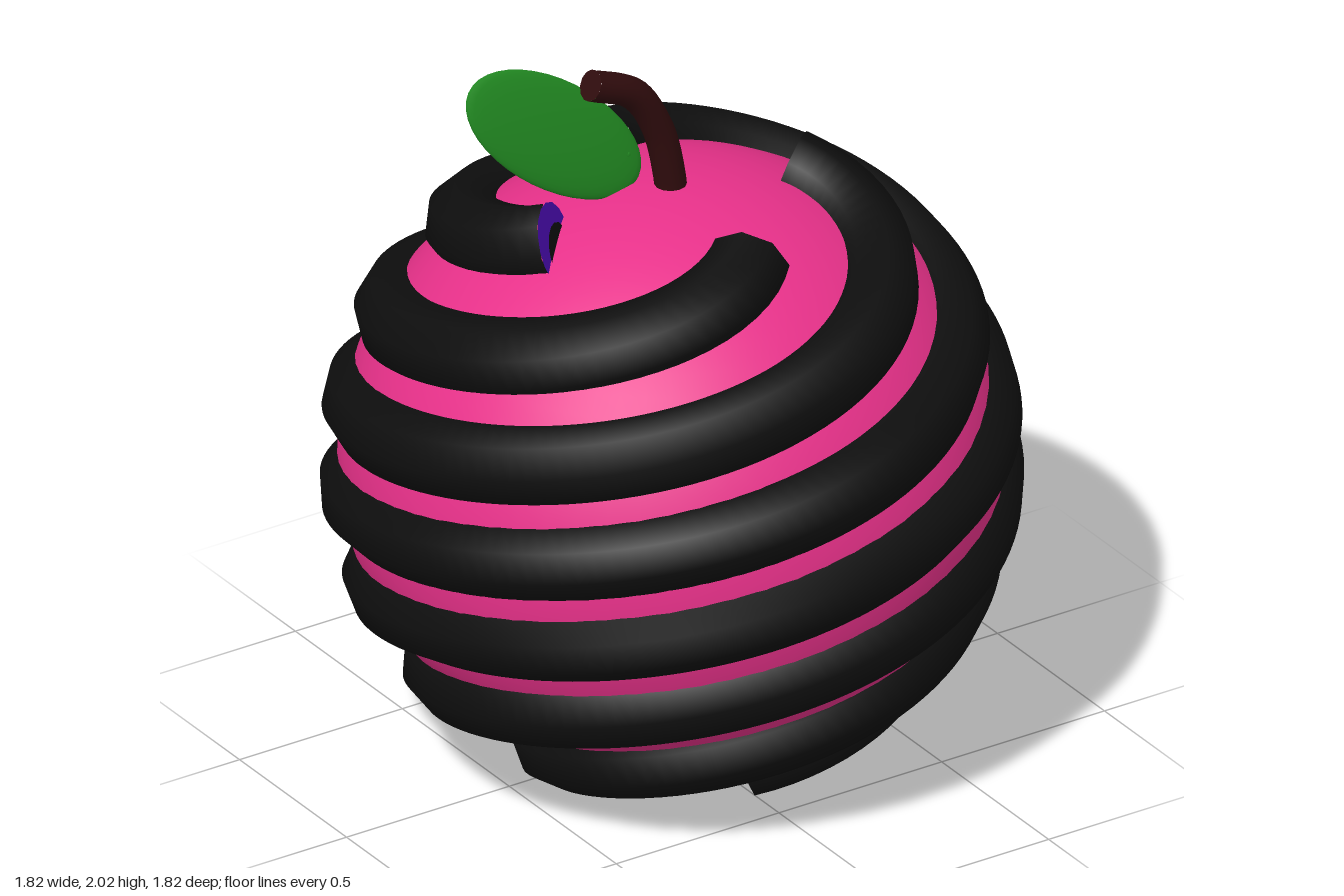
import * as THREE from 'three';

const CENTER_Y = 0.815;
const PATH_R = 0.805;
const END_Y = 0.72;

const material = (name, color) => {
  const m = new THREE.MeshStandardMaterial({ color });
  m.name = name;
  return m;
};

// Spiral over a sphere: height grows evenly over one and a half turns
class SphereSpiral extends THREE.Curve {
  getPoint(t, target = new THREE.Vector3()) {
    const y = (2 * t - 1) * END_Y;
    const r = Math.sqrt(PATH_R * PATH_R - y * y);
    const a = t * Math.PI * 3;
    return target.set(r * Math.sin(a), y, r * Math.cos(a));
  }
}

export function createModel() {
  const pink = material('pink', 0xe8318a);
  const black = material('black', 0x0e0e0e);
  const purple = material('purple', 0x4a0cb0);
  const brown = material('darkBrown', 0x300c0d);
  const green = material('green', 0x228b22);

  const model = new THREE.Group();
  model.name = 'fruit';
  const add = (name, geometry, mat, parent = model) => {
    const mesh = new THREE.Mesh(geometry, mat);
    mesh.name = name;
    parent.add(mesh);
    return mesh;
  };

  // Slightly squashed round body
  const body = add('body', new THREE.SphereGeometry(1, 64, 40), pink);
  body.scale.set(0.86, 0.79, 0.86);
  body.position.y = CENTER_Y;

  // Four coils wrapped around the body, with flat two-tone ends
  const spiral = new SphereSpiral();
  const coilGeometry = new THREE.TubeGeometry(spiral, 160, 0.11, 8);
  const endGeometry = new THREE.CircleGeometry(0.108, 16);
  const coreGeometry = new THREE.CircleGeometry(0.075, 16);
  for (let i = 0; i < 4; i++) {
    const coil = new THREE.Group();
    coil.name = 'coil' + (i + 1);
    coil.position.y = CENTER_Y;
    coil.rotation.y = i * Math.PI / 2;
    add('coilTube', coilGeometry, black, coil);
    for (const t of [0, 1]) {
      const p = spiral.getPoint(t);
      const out = spiral.getTangent(t).multiplyScalar(t ? 1 : -1);
      const turn = new THREE.Quaternion().setFromUnitVectors(new THREE.Vector3(0, 0, 1), out);
      const end = add('coilEnd', endGeometry, purple, coil);
      end.position.copy(p);
      end.quaternion.copy(turn);
      const core = add('coilEndCore', coreGeometry, black, coil);
      core.position.copy(p).addScaledVector(p.clone().normalize(), -0.03).addScaledVector(out, 0.004);
      core.quaternion.copy(turn);
    }
    model.add(coil);
  }

  // Curved stem with a closed tip
  const stemCurve = new THREE.CatmullRomCurve3([
    [0, 1.54], [-0.008, 1.63], [-0.045, 1.78], [-0.12, 1.9], [-0.25, 1.962],
  ].map(([x, y]) => new THREE.Vector3(x, y, 0)));
  add('stem', new THREE.TubeGeometry(stemCurve, 24, 0.042, 12), brown);
  const tip = add('stemTip', new THREE.CircleGeometry(0.042, 12), brown);
  tip.position.copy(stemCurve.getPoint(1));
  tip.quaternion.setFromUnitVectors(new THREE.Vector3(0, 0, 1), stemCurve.getTangent(1));

  // Flattened oval leaf behind the stem
  const along = new THREE.Vector3(-0.8, 0.6, -0.07).normalize();
  const face = new THREE.Vector3().crossVectors(along, new THREE.Vector3(-0.6, -0.8, 0.2)).normalize();
  const across = new THREE.Vector3().crossVectors(face, along);
  const leaf = add('leaf', new THREE.SphereGeometry(1, 32, 20), green);
  leaf.quaternion.setFromRotationMatrix(new THREE.Matrix4().makeBasis(along, across, face));
  leaf.scale.set(0.31, 0.14, 0.026);
  leaf.position.set(-0.305, 1.795, -0.09);

  // Short leaf stalk
  const stalkCurve = new THREE.LineCurve3(
    new THREE.Vector3(-0.25, 1.73, -0.085), new THREE.Vector3(-0.09, 1.68, -0.08));
  add('leafStalk', new THREE.TubeGeometry(stalkCurve, 1, 0.016, 8), green);
  const stalkTip = add('leafStalkTip', new THREE.SphereGeometry(0.016, 8, 6), green);
  stalkTip.position.copy(stalkCurve.v2);

  return model;
}
